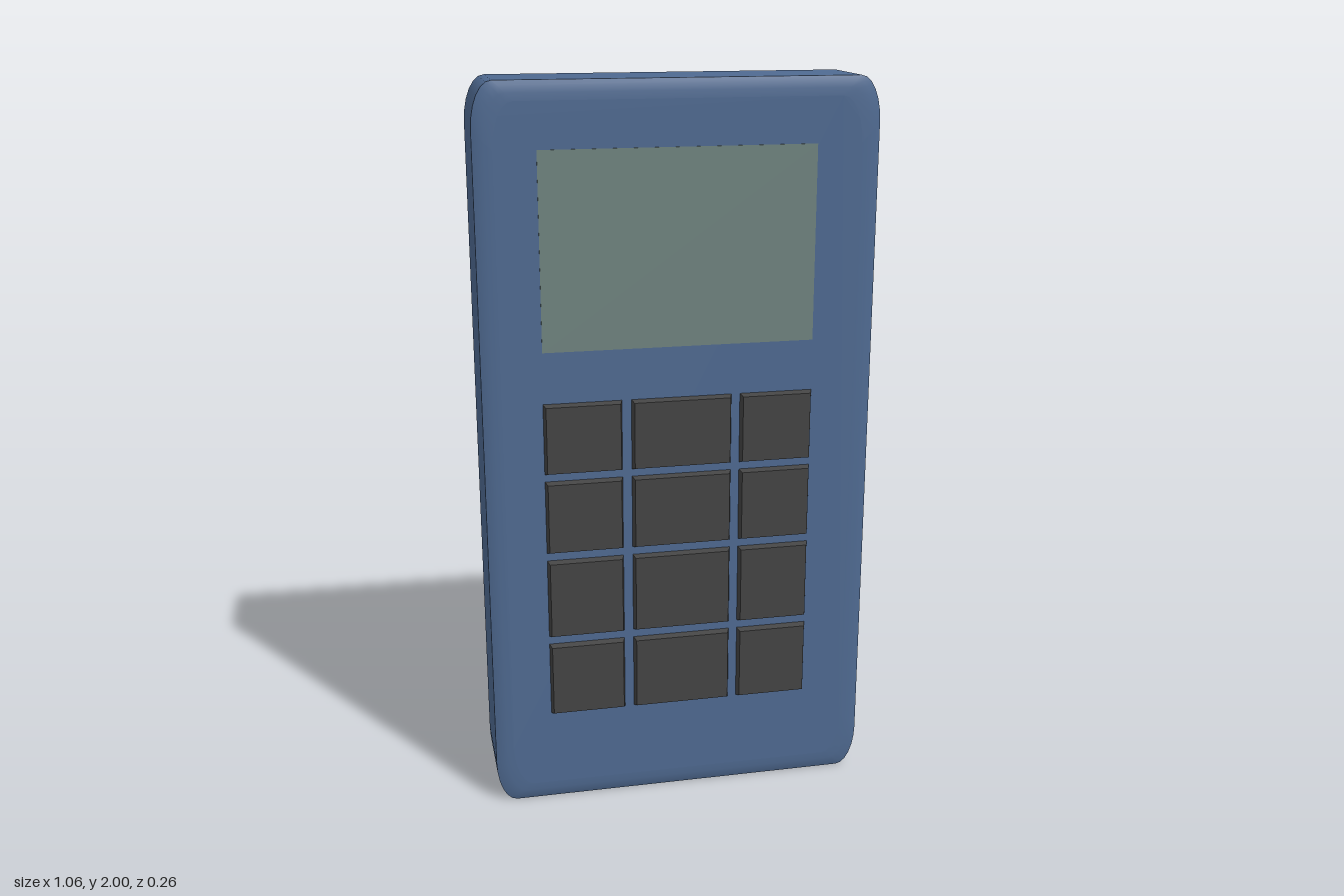
import * as THREE from 'three';
import { toCreasedNormals, mergeGeometries } from 'three/addons/utils/BufferGeometryUtils.js';

const HALF_W = 0.53, HALF_H = 1, FRONT = 0.11, BACK = -0.13;

// Counter-clockwise outline with tall elliptical corners, drawn in by an inset.
function outline(inset, segments = 6) {
  const rx = 0.055, ry = 0.12, points = [];
  const cx = HALF_W - inset - rx, cy = HALF_H - inset - ry;
  for (const [sx, sy, start] of [[1, 1, 0], [-1, 1, 1], [-1, -1, 2], [1, -1, 3]]) {
    for (let i = 0; i <= segments; i++) {
      const a = (start + i / segments) * Math.PI / 2;
      points.push(new THREE.Vector2(sx * cx + rx * Math.cos(a), 1 + sy * cy + ry * Math.sin(a)));
    }
  }
  return points;
}

// Case: outlines lofted from back to front, with shallow rounded rims and flat caps.
function caseGeometry() {
  const rim = [[0, 0.011], [0.012, 0.005], [0.03, 0.001], [0.05, 0]]; // inset, drop
  const sections = [
    ...rim.map(([inset, drop]) => [inset, BACK + drop]).reverse(),
    ...rim.map(([inset, drop]) => [inset, FRONT - drop]),
  ];
  const positions = [], indices = [];
  const count = outline(0).length;
  sections.forEach(([inset, z], s) => {
    for (const p of outline(inset)) positions.push(p.x, p.y, z);
    if (s === 0) return;
    for (let i = 0; i < count; i++) {
      const j = (i + 1) % count, a = (s - 1) * count, b = s * count;
      indices.push(a + i, a + j, b + j, a + i, b + j, b + i);
    }
  });
  const loft = new THREE.BufferGeometry();
  loft.setAttribute('position', new THREE.Float32BufferAttribute(positions, 3));
  loft.setIndex(indices);
  const walls = toCreasedNormals(loft, 0.8);

  const capShape = new THREE.Shape(outline(0.05));
  const front = new THREE.ShapeGeometry(capShape).toNonIndexed().translate(0, 0, FRONT);
  const back = new THREE.ShapeGeometry(capShape).toNonIndexed()
    .rotateY(Math.PI).translate(0, 0, BACK);
  front.deleteAttribute('uv');
  back.deleteAttribute('uv');
  return mergeGeometries([walls, front, back]);
}

// Key: a box whose front face is slightly smaller than its base.
function keyGeometry(width, height) {
  const depth = 0.022, taper = 0.007;
  const box = new THREE.BoxGeometry(width, height, depth).toNonIndexed();
  const p = box.attributes.position;
  for (let i = 0; i < p.count; i++) {
    if (p.getZ(i) < 0) continue;
    p.setX(i, p.getX(i) - Math.sign(p.getX(i)) * taper);
    p.setY(i, p.getY(i) - Math.sign(p.getY(i)) * taper);
  }
  box.computeVertexNormals();
  return box;
}

export function createModel() {
  const model = new THREE.Group();
  model.name = 'handheldKeypad';
  const blue = new THREE.MeshStandardMaterial({ color: 0x4f6a91 });
  const glass = new THREE.MeshStandardMaterial({ color: 0x6f837f });
  const dark = new THREE.MeshStandardMaterial({ color: 0x444444 });

  const add = (name, geometry, material, parent = model) => {
    const mesh = new THREE.Mesh(geometry, material);
    mesh.name = name;
    parent.add(mesh);
    return mesh;
  };

  add('case', caseGeometry(), blue);

  // Screen, almost flush with the front
  add('screen', new THREE.BoxGeometry(0.73, 0.52, 0.01), glass)
    .position.set(-0.005, 1.57, FRONT - 0.003);

  // Keys: three columns (left, right) by four rows (bottom, top)
  const keypad = new THREE.Group();
  keypad.name = 'keypad';
  model.add(keypad);
  const columns = [[-0.373, -0.16], [-0.137, 0.139], [0.16, 0.362]];
  const rows = [[0.975, 1.172], [0.75, 0.957], [0.503, 0.73], [0.268, 0.482]];
  rows.forEach(([y0, y1], r) => columns.forEach(([x0, x1], c) => {
    add(`keyRow${r + 1}Column${c + 1}`, keyGeometry(x1 - x0, y1 - y0), dark, keypad)
      .position.set((x0 + x1) / 2, (y0 + y1) / 2, FRONT + 0.007);
  }));

  return model;
}
